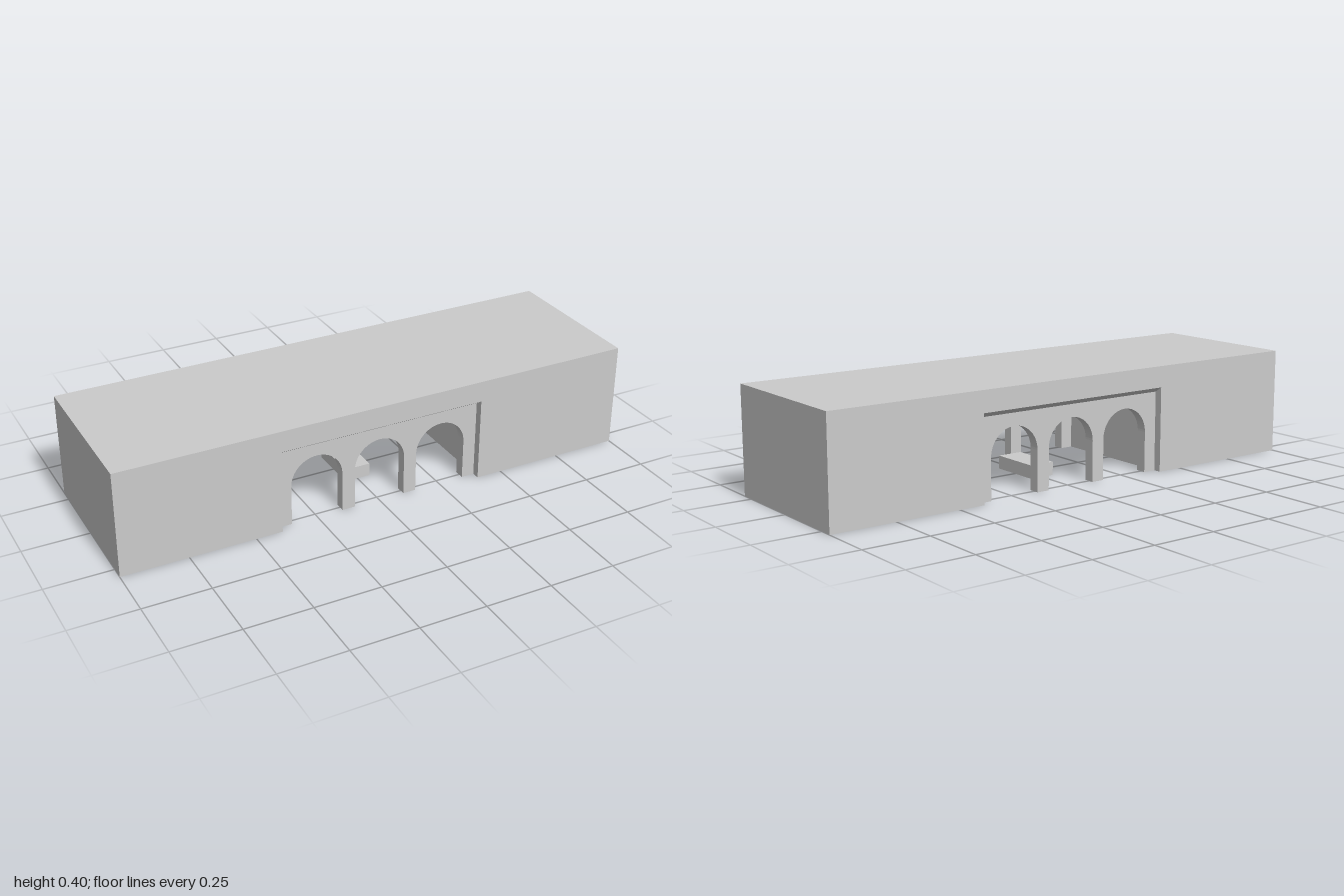
import * as THREE from 'three';

const material = new THREE.MeshStandardMaterial({ color: 0xcccccc, side: THREE.DoubleSide });

function addMesh(parent, name, geometry, x = 0, y = 0, z = 0) {
  const mesh = new THREE.Mesh(geometry, material);
  mesh.name = name;
  mesh.position.set(x, y, z);
  parent.add(mesh);
  return mesh;
}

// Removes the faces lying on the plane y = level, leaving the shell open below
function openBottom(geometry, level) {
  const g = geometry.index ? geometry.toNonIndexed() : geometry;
  const p = g.attributes.position;
  const kept = [];
  for (let i = 0; i < p.count; i += 3) {
    const flat = [0, 1, 2].every((k) => Math.abs(p.getY(i + k) - level) < 1e-5);
    if (!flat) for (let k = 0; k < 3; k++) kept.push(p.getX(i + k), p.getY(i + k), p.getZ(i + k));
  }
  const result = new THREE.BufferGeometry();
  result.setAttribute('position', new THREE.Float32BufferAttribute(kept, 3));
  result.computeVertexNormals();
  return result;
}

// Wall with three round-headed openings
function arcadeGeometry(thickness) {
  const radius = 0.1, spring = 0.153, top = 0.3;
  const shape = new THREE.Shape();
  shape.moveTo(-0.4, 0);
  for (const cx of [-0.25, 0, 0.25]) {
    shape.lineTo(cx - radius, 0);
    shape.lineTo(cx - radius, spring);
    shape.absarc(cx, spring, radius, Math.PI, 0, true);
    shape.lineTo(cx + radius, 0);
  }
  shape.lineTo(0.4, 0);
  shape.lineTo(0.4, top);
  shape.lineTo(-0.4, top);
  shape.closePath();
  const g = new THREE.ExtrudeGeometry(shape, { depth: thickness, bevelEnabled: false, curveSegments: 20 });
  g.translate(0, 0, -thickness / 2);
  return openBottom(g, 0);
}

// Roof section over the passage, its underside sloping down to each arcade
function roofGeometry() {
  const half = [[0.3, 0.4], [0.3, 0.32], [0.27, 0.3], [0.23, 0.3], [0.2, 0.32]];
  const mirrored = half.map(([z, y]) => [-z, y]).reverse();
  const shape = new THREE.Shape([...half, ...mirrored].map(([z, y]) => new THREE.Vector2(z, y)));
  const g = new THREE.ExtrudeGeometry(shape, { depth: 0.8, bevelEnabled: false });
  g.translate(0, 0, -0.4);
  g.rotateY(-Math.PI / 2);
  return g;
}

export function createModel() {
  const model = new THREE.Group();
  model.name = 'arcadedBuilding';

  // Solid wings on either side of the passage
  for (const [name, side] of [['leftWing', 1], ['rightWing', -1]]) {
    addMesh(model, name, new THREE.BoxGeometry(0.6, 0.4, 0.6), side * 0.7, 0.2, 0);
  }

  addMesh(model, 'passageRoof', roofGeometry());

  // Recessed arcades at front and back
  const arcade = arcadeGeometry(0.04);
  addMesh(model, 'frontArcade', arcade, 0, 0, 0.25);
  addMesh(model, 'backArcade', arcade, 0, 0, -0.25);

  // Low bench in the middle of the passage
  const bench = openBottom(new THREE.BoxGeometry(0.1, 0.05, 0.2), -0.025);
  addMesh(model, 'bench', bench, 0, 0.025, 0);

  return model;
}
